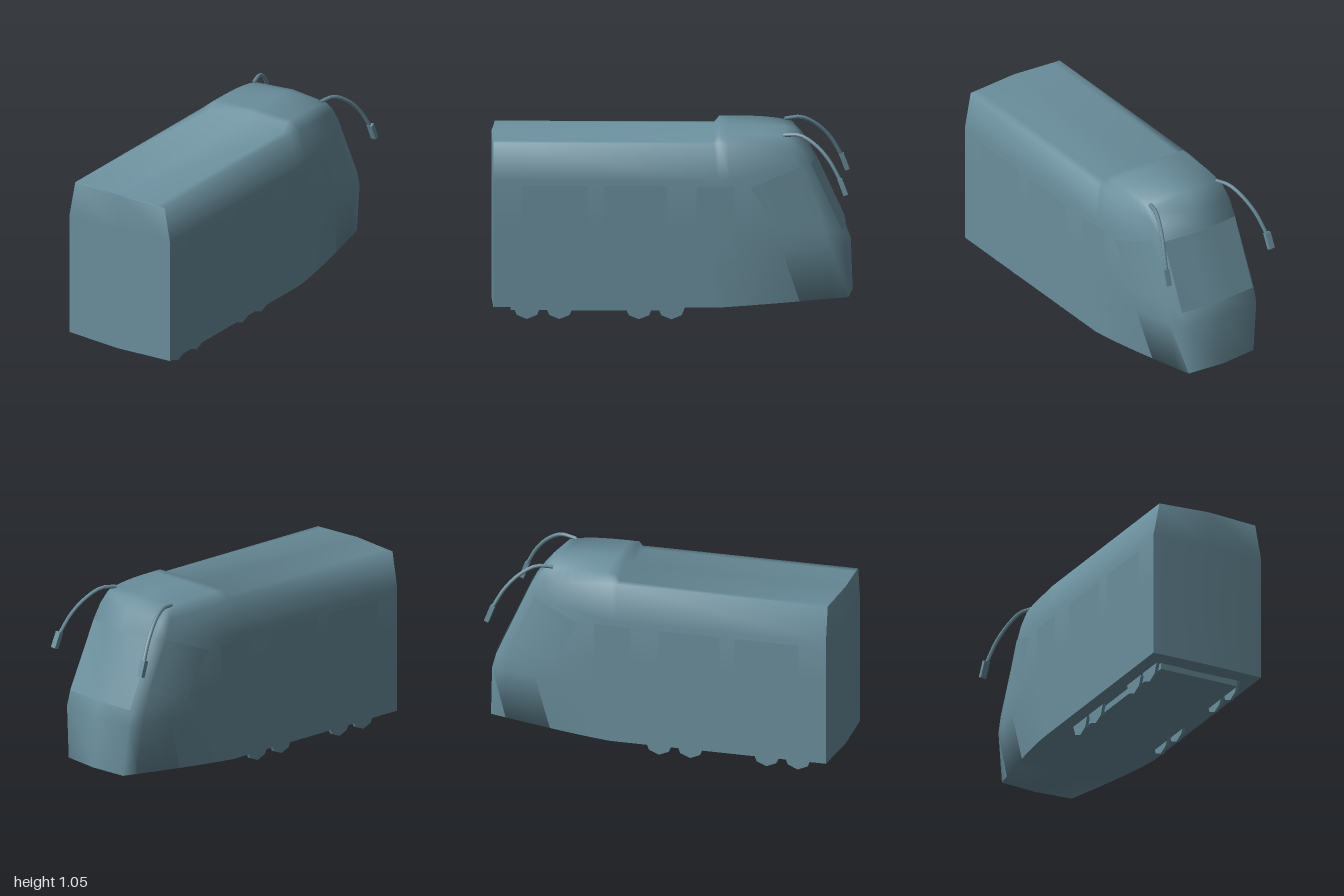
import * as THREE from 'three';
import { toCreasedNormals } from 'three/addons/utils/BufferGeometryUtils.js';

const lerp = THREE.MathUtils.lerp;

// Half section from bottom centre to roof centre:
// straight part [x, y], visor lift, nose edge [x, y, z], nose centre [y, z], taper power
const ROWS = [
  { s: [0, 0.078], lift: 0, e: [0, 0.12, -1.0], c: [0.12, -1.0], p: 1.3 },
  { s: [0.34, 0.083], lift: 0, e: [0.22, 0.12, -0.98], c: [0.12, -1.0], p: 1.3 },
  { s: [0.34, 0.4], lift: 0, e: [0.25, 0.41, -0.965], c: [0.41, -0.99], p: 2.4 },
  { s: [0.34, 0.55], lift: 0, e: [0.25, 0.5, -0.94], c: [0.5, -0.957], p: 2.4 },
  { s: [0.34, 0.8], lift: 0, e: [0.245, 0.88, -0.765], c: [0.9, -0.78], p: 2.4 },
  { s: [0.302, 1.003], lift: 0, e: [0.245, 0.96, -0.715], c: [0.97, -0.73], p: 2 },
  { s: [0.25, 1.005], lift: 0.042, e: [0.24, 1.02, -0.66], c: [1.03, -0.68], p: 2 },
  { s: [0, 1.01], lift: 0.042, e: [0, 1.03, -0.68], c: [1.03, -0.68], p: 2 },
];
const NOSE_STEPS = 8;

// Closed ring from one half section, running bottom, left, roof, right
function ring(fn) {
  const half = ROWS.map(fn);
  const other = half.slice(1, -1).reverse().map(([x, y, z]) => [-x, y, z]);
  return half.concat(other);
}

function bodyGeometry() {
  const rings = [
    ring((r) => [0, r.s[1], 1.0]),
    ring((r) => [r.s[0], r.s[1], r.s[0] ? 0.985 : 1.0]),
    ring((r) => [r.s[0], r.s[1], -0.23]),
  ];
  for (let i = 0; i <= NOSE_STEPS; i++) {
    const t = i / NOSE_STEPS;
    rings.push(ring((r) => [
      lerp(r.s[0], r.e[0], t ** r.p),
      lerp(r.s[1] + r.lift, r.e[1], r.lift ? t ** 4 : t),
      lerp(-0.26, r.e[2], t),
    ]));
  }
  rings.push(ring((r) => [0, ...r.c]));

  const n = rings[0].length, index = [];
  for (let i = 0; i < rings.length - 1; i++) {
    for (let k = 0; k < n; k++) {
      const a = i * n + k, b = i * n + (k + 1) % n;
      index.push(a, a + n, b, a + n, b + n, b);
    }
  }
  const geo = new THREE.BufferGeometry();
  geo.setAttribute('position', new THREE.Float32BufferAttribute(rings.flat(2), 3));
  geo.setIndex(index);
  return toCreasedNormals(geo, 1.45);
}

// Thin pane laid onto the body: four corners (u, y) projected along a direction
function paneGeometry(body, corners, side) {
  const N = 6;
  const geo = new THREE.PlaneGeometry(1, 1, N, N);
  const pos = geo.attributes.position, uv = geo.attributes.uv;
  const dir = side ? new THREE.Vector3(-side, 0, 0) : new THREE.Vector3(0, 0, 1);
  const ray = new THREE.Raycaster();
  const [a, b, c, d] = corners;
  for (let i = 0; i < pos.count; i++) {
    const s = uv.getX(i), t = uv.getY(i);
    const [u, y] = [0, 1].map((j) => lerp(lerp(a[j], b[j], s), lerp(d[j], c[j], s), t));
    const from = side ? new THREE.Vector3(side * 2, y, u) : new THREE.Vector3(u, y, -2);
    ray.set(from, dir);
    const p = ray.intersectObject(body)[0].point.addScaledVector(dir, -0.006);
    pos.setXYZ(i, p.x, p.y, p.z);
  }
  // keep corner order facing outward
  if (side <= 0) {
    const ix = geo.index.array;
    const flip = side < 0 ? corners[0][0] > corners[1][0] : corners[0][0] < corners[1][0];
    if (flip) for (let i = 0; i < ix.length; i += 3) [ix[i], ix[i + 1]] = [ix[i + 1], ix[i]];
  }
  geo.computeVertexNormals();
  return geo;
}

const rect = (u0, u1, y0, y1) => [[u0, y0], [u1, y0], [u1, y1], [u0, y1]];

export function createModel() {
  const model = new THREE.Group();
  model.name = 'railcar';
  const paint = new THREE.MeshStandardMaterial({ color: 0x6a8e9c, side: THREE.DoubleSide });
  paint.name = 'blueGrey';

  const add = (name, geo, parent = model) => {
    const mesh = new THREE.Mesh(geo, paint);
    mesh.name = name;
    parent.add(mesh);
    return mesh;
  };

  const body = add('body', bodyGeometry());

  // Windscreen
  add('windscreen', paneGeometry(body, rect(-0.24, 0.24, 0.5, 0.875), 0));

  // Underframe
  add('underframe', new THREE.BoxGeometry(0.48, 0.04, 0.96)).position.set(0, 0.065, 0.41);

  for (const side of [1, -1]) {
    const label = side > 0 ? 'left' : 'right';

    // Door and windows
    add(label + 'Door', paneGeometry(body, rect(-0.14, -0.35, 0.225, 0.77), side));
    add(label + 'FrontWindow', paneGeometry(body, rect(0.375, 0.02, 0.45, 0.77), side));
    add(label + 'RearWindow', paneGeometry(body, rect(0.83, 0.46, 0.45, 0.77), side));
    add(label + 'CabWindow', paneGeometry(body,
      [[-0.61, 0.49], [-0.84, 0.58], [-0.71, 0.865], [-0.44, 0.76]], side));

    // Wheels
    for (const z of [0.8, 0.62, 0.18, 0]) {
      const wheel = add(label + 'Wheel',
        new THREE.CylinderGeometry(0.08, 0.08, 0.018, 8).rotateZ(Math.PI / 2));
      wheel.geometry = toCreasedNormals(wheel.geometry, 0.5);
      wheel.position.set(side * 0.254, 0.08, z);
    }

    // Mirror on a curved arm
    const mirror = new THREE.Group();
    mirror.name = label + 'Mirror';
    model.add(mirror);
    const path = new THREE.CatmullRomCurve3([
      [0.225, 1.035, -0.62], [0.25, 1.04, -0.71], [0.283, 0.99, -0.8],
      [0.315, 0.91, -0.875], [0.342, 0.8, -0.938],
    ].map(([x, y, z]) => new THREE.Vector3(side * x, y, z)));
    add('mirrorArm', new THREE.TubeGeometry(path, 12, 0.011, 6), mirror);
    const head = add('mirrorHead', new THREE.BoxGeometry(0.034, 0.095, 0.026), mirror);
    head.position.set(side * 0.347, 0.768, -0.95);
    head.rotation.set(0.36, 0, side * 0.06);
  }
  return model;
}
